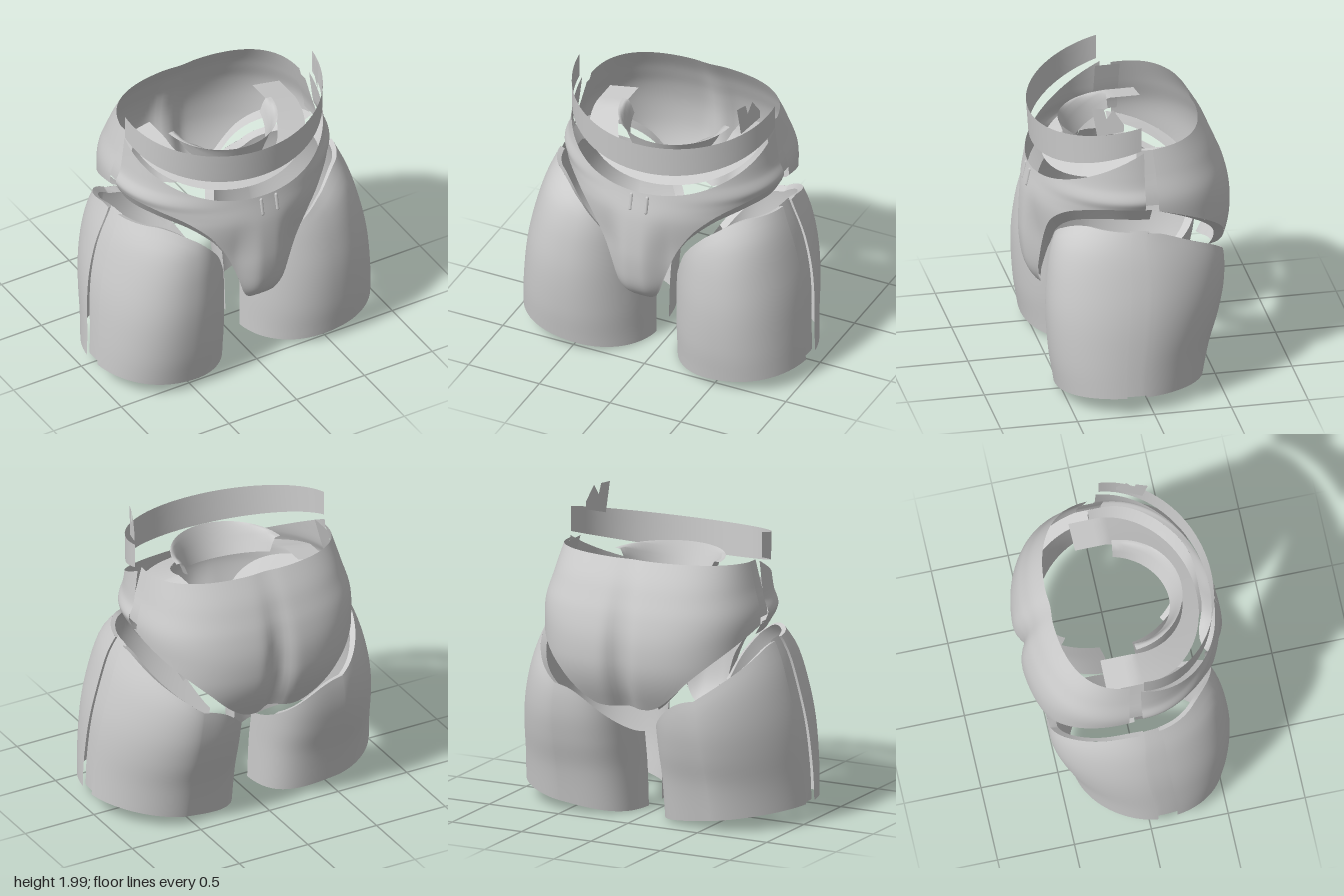
import * as THREE from 'three';

const D = Math.PI / 180;
const spow = (v, p) => Math.sign(v) * Math.pow(Math.abs(v), p);
const { lerp: mix, smoothstep } = THREE.MathUtils;

// Smooth curve through [position, value] pairs with rising positions
function curve(...pts) {
  const slope = (i) => {
    const a = pts[Math.max(i - 1, 0)], b = pts[Math.min(i + 1, pts.length - 1)];
    return (b[1] - a[1]) / (b[0] - a[0]);
  };
  return (x) => {
    if (x <= pts[0][0]) return pts[0][1];
    for (let i = 0; i < pts.length - 1; i++) {
      const [x0, y0] = pts[i], [x1, y1] = pts[i + 1];
      if (x > x1) continue;
      const h = x1 - x0, t = (x - x0) / h, t2 = t * t, t3 = t2 * t;
      return y0 * (2 * t3 - 3 * t2 + 1) + slope(i) * h * (t3 - 2 * t2 + t)
        + y1 * (3 * t2 - 2 * t3) + slope(i + 1) * h * (t3 - t2);
    }
    return pts[pts.length - 1][1];
  };
}

const material = new THREE.MeshStandardMaterial({ color: 0xcccccc, side: THREE.DoubleSide });

function addMesh(parent, name, geometry) {
  const mesh = new THREE.Mesh(geometry, material);
  mesh.name = name;
  parent.add(mesh);
  return mesh;
}

// Open sheet: fn(u, v) gives [x, y, z]; u runs along, v runs downward
function sheet(parent, name, fn, nu, nv) {
  const pos = [], idx = [];
  for (let i = 0; i <= nu; i++) for (let j = 0; j <= nv; j++) pos.push(...fn(i / nu, j / nv));
  for (let i = 0; i < nu; i++) for (let j = 0; j < nv; j++) {
    const a = i * (nv + 1) + j, b = a + nv + 1;
    idx.push(a, a + 1, b, b, a + 1, b + 1);
  }
  const g = new THREE.BufferGeometry();
  g.setAttribute('position', new THREE.Float32BufferAttribute(pos, 3));
  g.setIndex(idx);
  g.computeVertexNormals();
  return addMesh(parent, name, g);
}

// Front pelvis outline: half width and depth by height
const frontX = curve([0.5, 0.7], [1.25, 0.71], [1.32, 0.725], [1.38, 0.745], [1.46, 0.715], [1.55, 0.7], [1.72, 0.68]);
const frontZ = curve([0.55, 0.53], [0.6, 0.585], [0.68, 0.63], [0.8, 0.655], [0.95, 0.665], [1.2, 0.65], [1.4, 0.61], [1.7, 0.58]);
const legEdge = curve([0, 0.55], [5, 0.56], [9, 0.595], [12, 0.66], [15, 0.77], [20, 0.93], [25, 1.04], [32, 1.15], [44, 1.25], [60, 1.31], [75, 1.33], [97, 1.32]);

function frontPoint(deg, y) {
  const s = Math.sin(deg * D), c = Math.cos(deg * D), x = frontX(y) * s;
  // hollow on each side of the central ridge
  const dip = 0.06 * smoothstep(Math.abs(x), 0.05, 0.22) * (1 - smoothstep(y, 0.9, 1.3));
  return [x, y, 0.01 + (frontZ(y) - 0.01 - dip) * c];
}

// Rear pelvis outline
const backX = curve([0.8, 0.71], [1.2, 0.73], [1.38, 0.735], [1.55, 0.69], [1.74, 0.64]);
const backZ = curve([0.78, 0.55], [0.9, 0.61], [1.0, 0.645], [1.1, 0.66], [1.25, 0.655], [1.4, 0.62], [1.5, 0.58], [1.6, 0.535], [1.74, 0.45]);
const backEdge = curve([0, 0.78], [10, 0.79], [17, 0.84], [25, 0.92], [35, 1.02], [50, 1.13], [70, 1.24], [90, 1.33]);

function backPoint(deg, y) {
  const s = spow(Math.sin(deg * D), 0.75), c = spow(Math.cos(deg * D), 0.75), x = backX(y) * s;
  const cleft = mix(0.07, 0.01, smoothstep(y, 0.95, 1.7)) * Math.exp(-((x / 0.075) ** 2));
  return [x, y, -(backZ(y) * c - cleft)];
}

// Thigh outline by height, and its top edges by angle from the outside
const thighOut = curve([0.0, 0.99], [0.12, 0.99], [0.5, 0.97], [0.7, 0.945], [0.9, 0.9], [1.05, 0.855], [1.21, 0.79]);
const thighFront = curve([0.0, 0.54], [0.07, 0.55], [0.3, 0.585], [0.6, 0.6], [0.85, 0.58], [1.0, 0.55], [1.1, 0.51], [1.21, 0.42]);
const thighBack = curve([0.0, -0.39], [0.3, -0.45], [0.5, -0.51], [0.7, -0.55], [0.9, -0.55], [1.05, -0.5], [1.2, -0.4]);
const thighTopFront = curve([0, 1.2], [40, 1.21], [60, 1.205], [80, 1.16], [100, 1.07], [120, 0.93], [135, 0.76], [150, 0.61], [165, 0.51], [180, 0.47]);
const thighTopBack = curve([0, 1.2], [20, 1.17], [50, 1.05], [75, 0.94], [100, 0.84], [130, 0.69], [160, 0.56], [180, 0.49]);

function thighPoint(deg, v, inset = 0) {
  const c0 = Math.cos(deg * D), s0 = Math.sin(deg * D);
  // squarer at the inner back, slimmer at the outer back
  const p = s0 >= 0 ? (c0 >= 0 ? 0.9 : 0.95) : (c0 >= 0 ? 1.15 : 0.6);
  const c = spow(c0, p), s = spow(s0, p);
  const top = deg >= 0 ? thighTopFront(deg) : thighTopBack(-deg);
  const y = mix(top, 0.01 + 0.06 * (1 + c), v);
  const cx = (thighOut(y) + 0.09) / 2, rx = (thighOut(y) - 0.09) / 2 - inset;
  const cz = (thighFront(y) + thighBack(y)) / 2, rz = (thighFront(y) - thighBack(y)) / 2 - inset;
  return [cx + rx * c, y, cz + rz * s];
}

function buildThigh(side) {
  const g = new THREE.Group();
  g.name = side > 0 ? 'leftThigh' : 'rightThigh';
  const part = (name, a0, a1, nu, nv, inset, fall = 1, turn = 0) => sheet(g, name, (u, v) => {
    const [x, y, z] = thighPoint(side > 0 ? mix(a1, a0, u) : mix(a0, a1, u), v * fall, inset + turn * v);
    return [side * x, y, z];
  }, nu, nv);
  part('thighFrontShell', 10, 174, 60, 20, 0);
  part('thighBackShell', -174, -4, 80, 20, 0);
  // recessed strip behind the outer seam
  part('outerSeamStrip', -6, 12, 8, 20, 0.025);
  // turned-in rims along the top edges
  part('frontRim', 10, 150, 36, 1, 0, 0.01, 0.035);
  part('backRim', -150, -4, 36, 1, 0, 0.02, 0.05);
  return g;
}

export function createModel() {
  const model = new THREE.Group();
  model.name = 'hipArmor';

  // Front shell from waist line to crotch
  sheet(model, 'frontPelvis', (u, v) => {
    const a = mix(-91, 91, u);
    const top = 1.39 + 0.31 * (1 - Math.cos(a * D));
    return frontPoint(a, mix(top, legEdge(Math.abs(a)), v));
  }, 120, 28);

  // Rear shell
  sheet(model, 'rearPelvis', (u, v) => {
    const b = mix(86, -86, u);
    const top = 1.735 - 0.03 * Math.abs(b / 90) ** 3;
    return backPoint(b, mix(top, backEdge(Math.abs(b)), v));
  }, 120, 26);

  // Leg opening flanges, side strips and thighs, mirrored
  for (const s of [1, -1]) {
    sheet(model, 'frontLegFlange', (u, v) => {
      const a = mix(12, 95, u), [x, y, z] = frontPoint(a, legEdge(a));
      const w = v * Math.min(1, 0.3 + u * 5);
      return [s * (x - 0.05 * w), y - 0.09 * w, z - 0.06 * w * Math.cos(a * D)];
    }, 40, 3);
    sheet(model, 'rearLegFlange', (u, v) => {
      const b = mix(14, 88, u), [x, y, z] = backPoint(b, backEdge(b));
      return [s * x * (1 - 0.1 * v), y - 0.03 * v, z * (1 - 0.1 * v)];
    }, 30, 2);
    sheet(model, 'sideStrip', (u, v) => {
      const y = mix(1.7, 1.35, v);
      return [s * (backX(y) - 0.02), y, mix(0.04, -0.12, u)];
    }, 2, 8);
    model.add(buildThigh(s));
  }

  // Belt across the front, rising to the sides
  sheet(model, 'belt', (u, v) => {
    const a = mix(-90, 90, u) * D, k = 1 - Math.cos(a);
    const y = mix(1.75 + 0.14 * k, 1.535 + 0.19 * k, v);
    return [0.69 * Math.sin(a), y, 0.02 + (0.585 - 0.015 * v) * Math.cos(a)];
  }, 48, 3);

  // Pointed tab on the left of the belt
  const tabShape = new THREE.Shape([[0.335, 2], [0.26, 2], [0.24, 1.93], [0.2, 2], [0.13, 1.9], [0.13, 1.85], [0.3, 1.8]]
    .map(([z, y]) => new THREE.Vector2(z, y)));
  const tab = addMesh(model, 'beltTab', new THREE.ShapeGeometry(tabShape).rotateY(-Math.PI / 2));
  tab.rotation.y = -0.35;
  tab.position.x = 0.68;

  // Inside the waist: a flat ledge and a wall that narrows downward
  const ring = (name, reach, [x0, y0, z0], [x1, y1, z1]) => sheet(model, name, (u, v) => {
    const a = mix(-reach, reach, u) * D, c = Math.cos(a), rise = 0.14 * (1 - Math.max(c, 0));
    const x = mix(x0, x1, v) * Math.sin(c < 0 ? Math.sign(a) * Math.PI / 2 : a);
    return [x, Math.min(mix(y0, y1, v) + rise, 1.65), c < 0 ? 0.58 * c : mix(z0, z1, v) * c];
  }, 44, 4);
  ring('innerLedge', 110, [0.38, 1.45, 0.41], [0.58, 1.41, 0.51]);
  ring('innerWall', 85, [0.38, 1.65, 0.41], [0.3, 1.43, 0.33]);

  // Two small ridges below the waist line
  for (const x of [-0.035, 0.075]) {
    const ridge = addMesh(model, 'frontRidge', new THREE.CapsuleGeometry(0.012, 0.1, 4, 8));
    ridge.position.set(x, 1.315, 0.623);
    ridge.rotation.x = -0.2;
  }
  return model;
}
